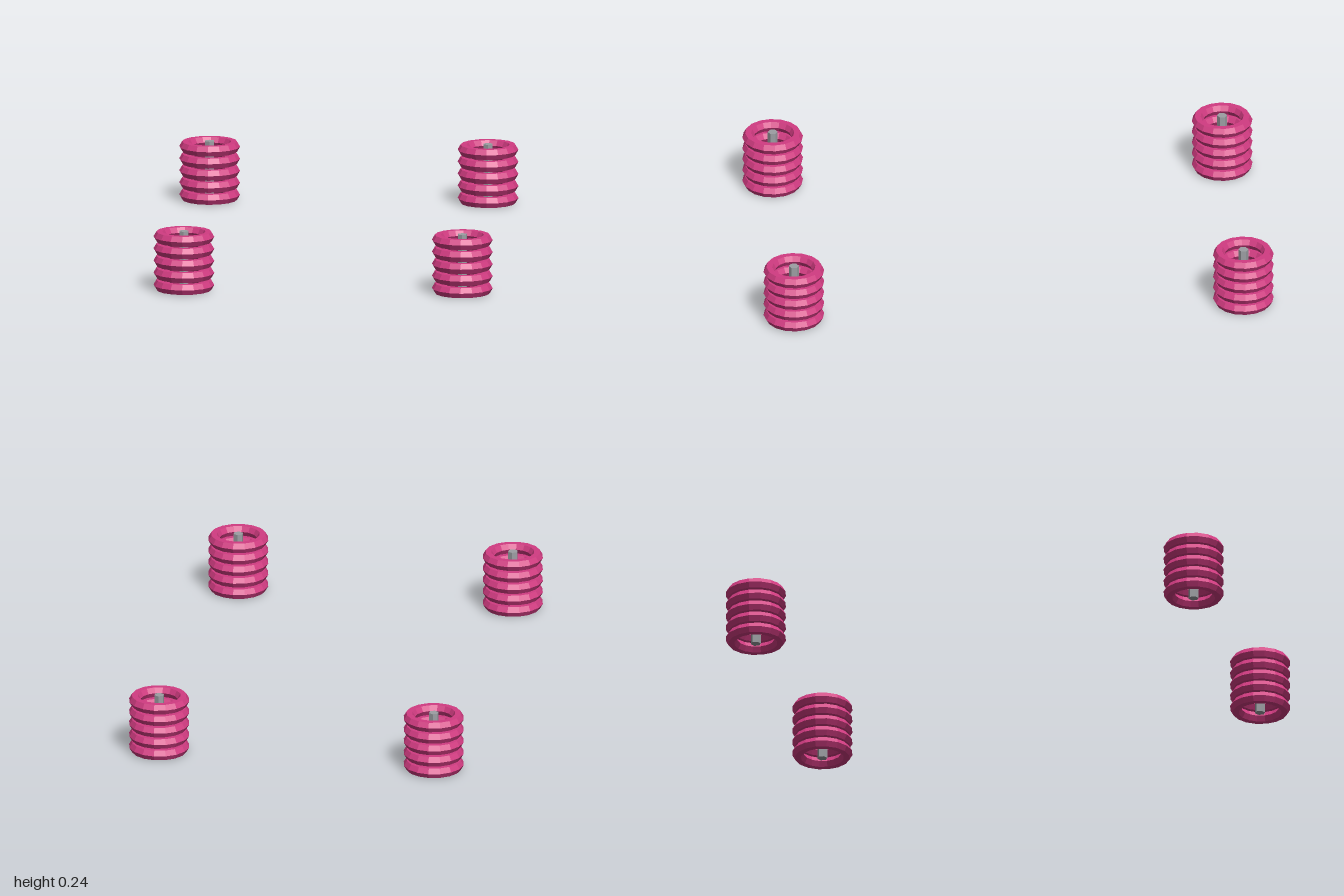
import * as THREE from 'three';

export function createModel() {
  const model = new THREE.Group();
  model.name = 'springSet';

  const pink = new THREE.MeshStandardMaterial({ color: 0xd23c82, flatShading: true });
  pink.name = 'pink';
  const grey = new THREE.MeshStandardMaterial({ color: 0x9c9fa3, flatShading: true });
  grey.name = 'grey';

  const height = 0.236;
  const tube = 0.023;
  const ringGeometry = new THREE.TorusGeometry(0.096, tube, 6, 16).rotateX(Math.PI / 2);
  const rodGeometry = new THREE.CylinderGeometry(0.02, 0.02, height, 6);

  // One spring: five stacked rings around a thin hexagonal rod
  function makeSpring(name, x, z) {
    const spring = new THREE.Group();
    spring.name = name;
    for (let i = 0; i < 5; i++) {
      const ring = new THREE.Mesh(ringGeometry, pink);
      ring.name = `coilRing${i + 1}`;
      ring.position.y = height / 2 + (i - 2) * 0.048;
      spring.add(ring);
    }
    const rod = new THREE.Mesh(rodGeometry, grey);
    rod.name = 'centreRod';
    rod.position.y = height / 2;
    spring.add(rod);
    spring.position.set(x, 0, z);
    return spring;
  }

  // A spring at each corner
  for (const [side, sx] of [['Left', 1], ['Right', -1]]) {
    for (const [end, sz] of [['front', 1], ['back', -1]]) {
      model.add(makeSpring(`${end}${side}Spring`, sx * 0.545, sz * 0.881));
    }
  }
  return model;
}
